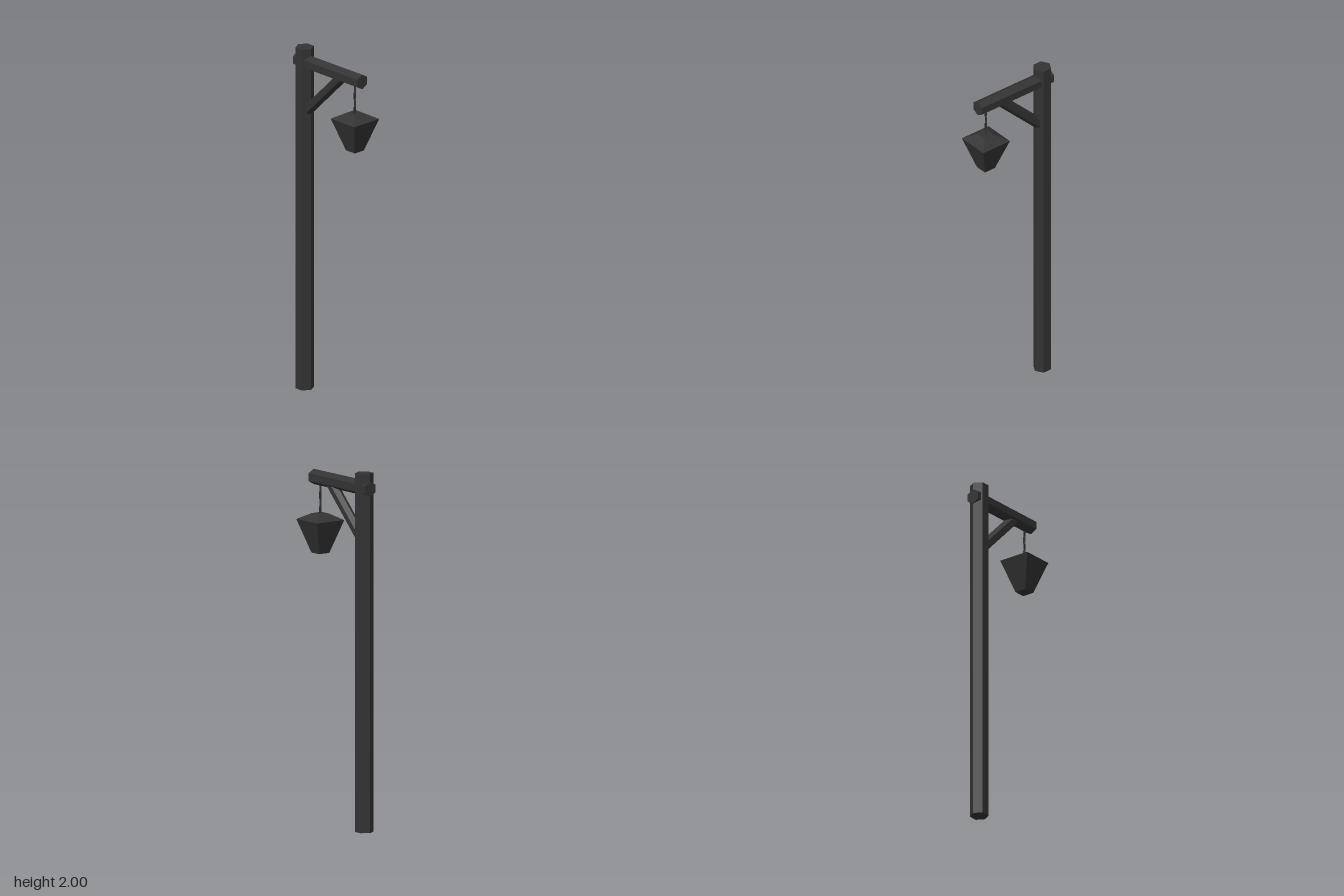
import * as THREE from 'three';

const iron = new THREE.MeshStandardMaterial({ color: 0x333333, flatShading: true });
const linkIron = iron.clone();
linkIron.side = THREE.DoubleSide;

// Six-sided timber running between two points, ridge facing up
function timber(name, radius, from, to) {
  const a = new THREE.Vector3(...from);
  const b = new THREE.Vector3(...to);
  const mesh = new THREE.Mesh(new THREE.CylinderGeometry(radius, radius, a.distanceTo(b), 6), iron);
  mesh.name = name;
  mesh.position.copy(a).add(b).multiplyScalar(0.5);
  mesh.quaternion.setFromUnitVectors(new THREE.Vector3(0, 1, 0), b.sub(a).normalize());
  return mesh;
}

// Square frustum given by half widths at top and bottom
function frustum(name, top, bottom, y0, y1, z) {
  const geo = new THREE.CylinderGeometry(top * Math.SQRT2, bottom * Math.SQRT2, y1 - y0, 4);
  geo.rotateY(Math.PI / 4);
  const mesh = new THREE.Mesh(geo, iron);
  mesh.name = name;
  mesh.position.set(0, (y0 + y1) / 2, z);
  return mesh;
}

export function createModel() {
  const model = new THREE.Group();
  model.name = 'lampPost';

  // Post, crossbeam and diagonal brace
  model.add(
    timber('post', 0.052, [0, 0, -0.22], [0, 2, -0.22]),
    timber('crossbeam', 0.0427, [0, 1.917, -0.275], [0, 1.917, 0.237]),
    timber('brace', 0.031, [0, 1.63, -0.2], [0, 1.9, 0.075])
  );

  // Chain of flat links, each turned a quarter from the last
  const lampZ = 0.178;
  const chain = new THREE.Group();
  chain.name = 'chain';
  for (let i = 0; i < 4; i++) {
    const link = new THREE.Mesh(new THREE.PlaneGeometry(0.018, 0.042), linkIron);
    link.name = 'chainLink';
    link.position.set(0, 1.862 - i * 0.042, lampZ);
    link.rotation.y = i % 2 === 0 ? Math.PI / 2 : 0;
    chain.add(link);
  }
  model.add(chain);

  // Hanging lantern
  const lantern = new THREE.Group();
  lantern.name = 'lantern';
  lantern.add(
    frustum('lanternRoof', 0.033, 0.094, 1.685, 1.72, lampZ),
    frustum('lanternBody', 0.094, 0.035, 1.5, 1.685, lampZ)
  );
  model.add(lantern);

  return model;
}
